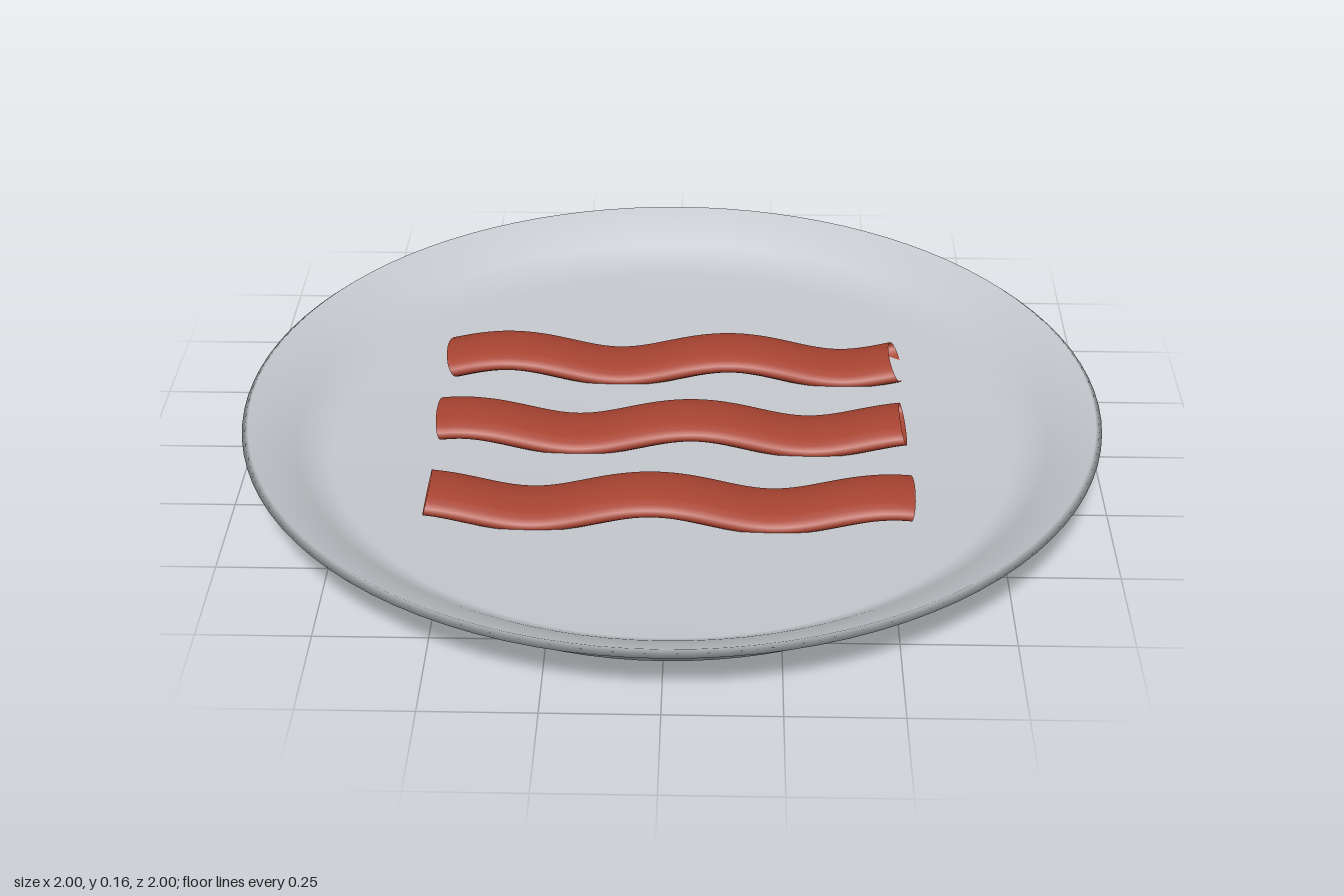
import * as THREE from 'three';

const plateGrey = new THREE.MeshStandardMaterial({ color: 0xc6c9ce });
plateGrey.name = 'plateGrey';
const baconRed = new THREE.MeshStandardMaterial({ color: 0xa84432, side: THREE.DoubleSide });
baconRed.name = 'baconRed';

const LENGTH = 1.09;
const WAVES = 2;

// Open flattened tube that ripples up and down along x
function stripGeometry(phase) {
  const geometry = new THREE.CylinderGeometry(1, 1, LENGTH, 20, 64, true, Math.PI / 2);
  geometry.rotateZ(-Math.PI / 2);
  const p = geometry.attributes.position;
  for (let i = 0; i < p.count; i++) {
    const x = p.getX(i), up = p.getY(i), side = p.getZ(i);
    const a = (x / LENGTH) * WAVES * Math.PI * 2 + phase;
    p.setXYZ(i, x - 0.018 * Math.cos(a) * up, 0.068 + 0.021 * Math.sin(a) + 0.028 * up, 0.085 * side);
  }
  geometry.computeVertexNormals();
  return geometry;
}

export function createModel() {
  const model = new THREE.Group();
  model.name = 'plateOfBacon';

  // Plate: underside, flared rim, then the shallow inside
  const profile = [
    [0, 0], [0.82, 0], [0.895, 0.085], [1, 0.143], [0.985, 0.155],
    [0.88, 0.098], [0.8, 0.045], [0, 0.045],
  ].map(([r, y]) => new THREE.Vector2(r, y));
  const plate = new THREE.Mesh(new THREE.LatheGeometry(profile, 96), plateGrey);
  plate.name = 'plate';
  model.add(plate);

  // Three strips, each rippling a little out of step with the last
  [-0.32, 0, 0.32].forEach((z, i) => {
    const strip = new THREE.Mesh(stripGeometry(i), baconRed);
    strip.name = `baconStrip${i + 1}`;
    strip.position.z = z;
    model.add(strip);
  });

  return model;
}
